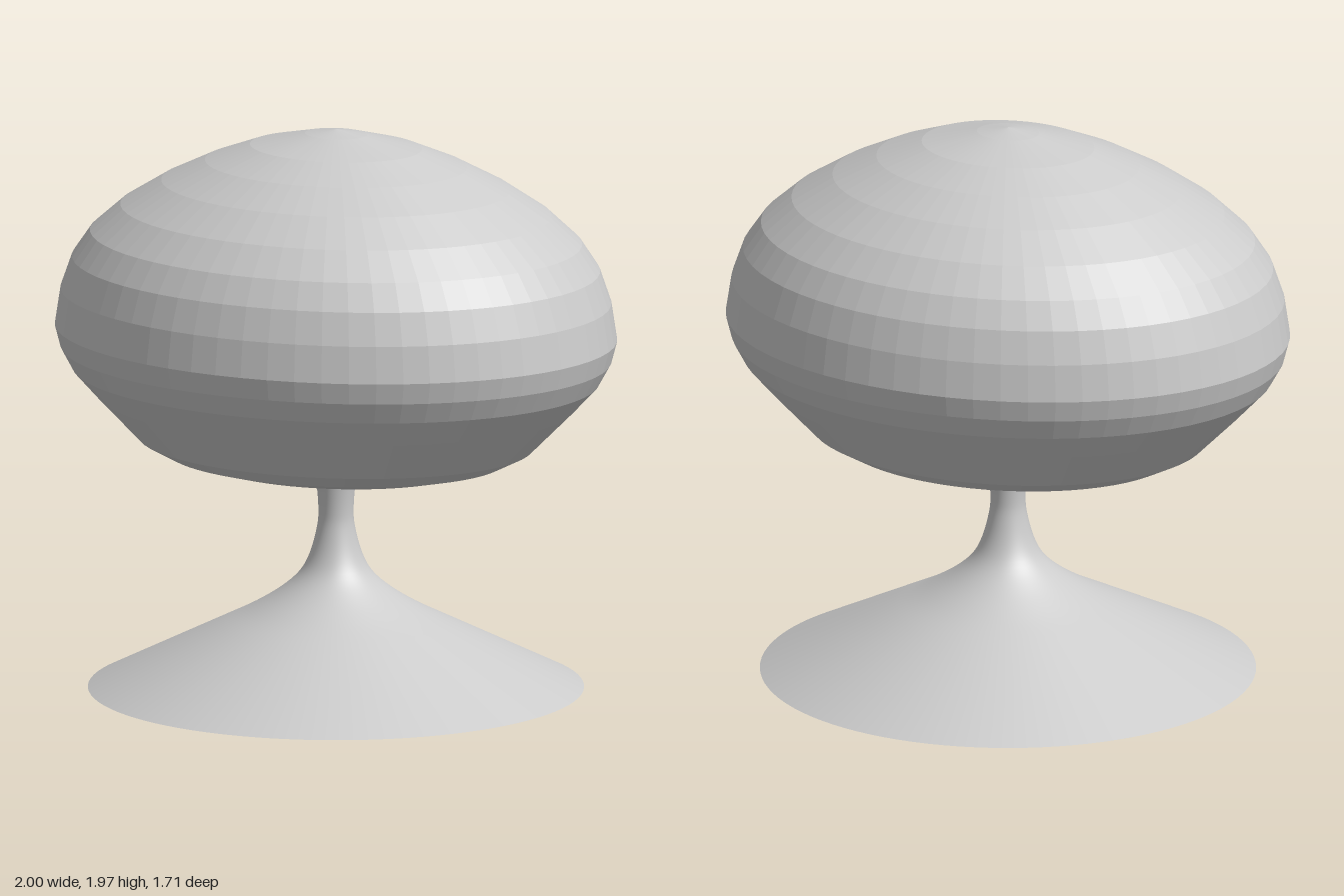
import * as THREE from 'three';

const toPoints = (pairs) => pairs.map(([r, y]) => new THREE.Vector2(r, y));

export function createModel() {
  const model = new THREE.Group();

  // Faceted oval shade: a turned profile, narrowed front to back
  const shadeProfile = toPoints([
    [0, 0.773], [0.32, 0.773], [0.47, 0.785], [0.605, 0.817], [0.7, 0.865],
    [0.845, 1.01], [0.935, 1.105], [0.977, 1.18], [0.997, 1.255], [0.977, 1.384],
    [0.937, 1.497], [0.873, 1.59], [0.765, 1.685], [0.62, 1.775], [0.465, 1.85],
    [0.305, 1.91], [0.11, 1.955], [0, 1.972],
  ]);
  const shade = new THREE.Mesh(
    new THREE.LatheGeometry(shadeProfile, 64),
    new THREE.MeshStandardMaterial({ color: 0xcccccc, flatShading: true })
  );
  shade.name = 'shade';
  shade.scale.set(1.003, 1, 0.812);
  model.add(shade);

  // Hollow conical foot sweeping up into a slim, slightly flared stem
  const footRim = new THREE.Vector2(0.857, 0);
  const stemCurve = new THREE.SplineCurve(toPoints([
    [0.4, 0.227], [0.3, 0.278], [0.2, 0.341], [0.128, 0.405], [0.09, 0.475],
    [0.065, 0.57], [0.061, 0.635], [0.067, 0.715], [0.077, 0.775],
  ]));
  const foot = new THREE.Mesh(
    new THREE.LatheGeometry([footRim, ...stemCurve.getPoints(32)], 96),
    new THREE.MeshStandardMaterial({ color: 0xcccccc, side: THREE.DoubleSide })
  );
  foot.name = 'footAndStem';
  model.add(foot);

  return model;
}
